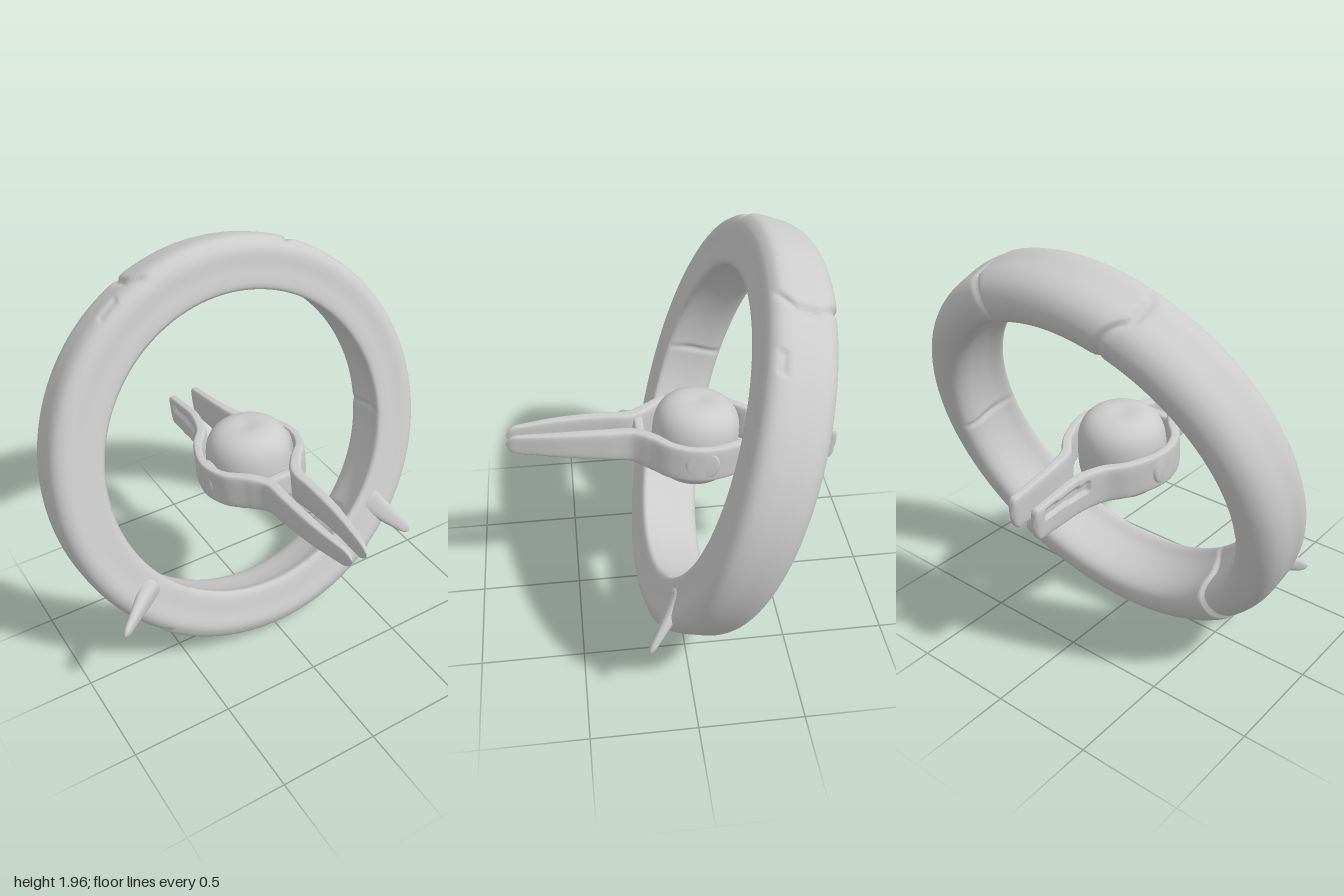
import * as THREE from 'three';

const material = new THREE.MeshStandardMaterial({ color: 0xcccccc, roughness: 0.7 });
const V = (x, y, z) => new THREE.Vector3(x, y, z);
const bump = (d, width) => Math.exp(-((d / width) ** 2));
const step = THREE.MathUtils.smoothstep;

function addMesh(parent, name, geometry) {
  const mesh = new THREE.Mesh(geometry, material);
  mesh.name = name;
  parent.add(mesh);
  return mesh;
}

// Skin over rows of cross-sections; every row is a closed loop
function skin(rows, cols, closed, pointAt) {
  const pos = [], index = [];
  for (let i = 0; i < rows; i++)
    for (let j = 0; j < cols; j++) pos.push(...pointAt(i, j).toArray());
  for (let i = 0; i < (closed ? rows : rows - 1); i++)
    for (let j = 0; j < cols; j++) {
      const i2 = (i + 1) % rows, j2 = (j + 1) % cols;
      const a = i * cols + j, b = i2 * cols + j, c = i2 * cols + j2, d = i * cols + j2;
      index.push(a, d, b, d, c, b);
    }
  const g = new THREE.BufferGeometry();
  g.setAttribute('position', new THREE.Float32BufferAttribute(pos, 3));
  g.setIndex(index);
  g.computeVertexNormals();
  return g;
}

// Unit rounded square, evenly spaced counter-clockwise
function roundedSquare(perSide, power) {
  const pts = [];
  for (let s = 0; s < 4; s++)
    for (let k = 0; k < perSide; k++) {
      const b = -1 + (2 * k) / perSide, f = (1 + Math.abs(b) ** power) ** (-1 / power);
      pts.push(new THREE.Vector2(f, b * f).rotateAround(new THREE.Vector2(), (s * Math.PI) / 2));
    }
  return pts;
}

// Bar along a path; sizes hold half thickness and half height at each path point
function bar(path, sizes, up, { rows, perSide, power, cap, dent = () => 0 }) {
  const curve = new THREE.CatmullRomCurve3(path);
  const sizeCurve = new THREE.CatmullRomCurve3(sizes.map(([a, b]) => V(a, b, 0)));
  const section = roundedSquare(perSide, power);
  const frames = [];
  for (let i = 0; i < rows; i++) {
    const t = i / (rows - 1), k = Math.min(1, Math.min(t, 1 - t) / cap);
    const dir = curve.getTangent(t);
    const u = up.clone().cross(dir).normalize();
    const v = dir.clone().cross(u);
    const size = sizeCurve.getPoint(t).multiplyScalar(Math.sqrt(1 - (1 - k) ** 2));
    frames.push({ c: curve.getPoint(t), u, v, size });
  }
  return skin(rows, section.length, false, (i, j) => {
    const { c, u, v, size } = frames[i], q = section[j];
    const p = c.clone().addScaledVector(v, q.y * size.y);
    return p.addScaledVector(u, q.x * size.x + dent(p, q.x));
  });
}

// Plated hoop: rounded profile swept in a circle, with seams and slots pressed in
function hoopGeometry() {
  const profile = [
    [1.0, 0.02], [1.0, 0.09], [0.985, 0.135], [0.945, 0.162], [0.86, 0.16], [0.765, 0.156],
    [0.753, 0.148], [0.758, 0.12], [0.775, 0.07], [0.785, 0], [0.79, -0.1],
    [0.81, -0.145], [0.85, -0.165], [0.91, -0.163], [0.965, -0.125], [0.992, -0.07],
  ].map(([r, n]) => V(r, n, 0));
  const cols = 60, rows = 480;
  const loop = new THREE.CatmullRomCurve3(profile, true).getSpacedPoints(cols);
  return skin(rows, cols, true, (i, j) => {
    const angle = (i / rows) * Math.PI * 2;
    const signed = angle > Math.PI ? angle - Math.PI * 2 : angle;
    const a = Math.abs(signed);
    const { x: r, y: n } = loop[j];
    const sides = 1 - step(n, 0.12, 0.15);
    const inner = 1 - step(r, 0.79, 0.83);
    // angled plate ends at the top and bottom, short seams on the inner wall
    const topEnd = 0.44 - 0.8 * Math.max(0, Math.abs(n) - 0.06);
    const bottomEnd = Math.PI - 0.74 + 0.5 * Math.max(0, n);
    let d = -0.016 * bump(a - topEnd, 0.018) - 0.016 * bump(a - bottomEnd, 0.018);
    d -= 0.012 * inner * bump(a - 1.65, 0.018);
    d += 0.008 * step(a, bottomEnd, bottomEnd + 0.03) + 0.006 * (1 - step(a, topEnd - 0.03, topEnd));
    // small slots on the outer rim
    const slot = signed > 0 ? 0.69 : 0.59;
    if (r > 0.93 && Math.abs(signed > 0 ? a - slot : a - slot) < 0.055) d -= 0.014 * bump(n - 0.115, 0.016);
    d *= sides;
    const k = 1 + d / Math.hypot(r - 0.88, n);
    const R = 0.88 + (r - 0.88) * k;
    return V(R * Math.sin(angle), R * Math.cos(angle), n * k);
  });
}

export function createModel() {
  const model = new THREE.Group();
  model.name = 'ringStation';

  // Tilted hoop
  const hoop = addMesh(model, 'hoop', hoopGeometry());
  hoop.position.set(0, 0.995, -0.235);
  hoop.rotation.x = -0.304;

  // Two fins on the lower front face
  const finOptions = { rows: 40, perSide: 8, power: 2.6, cap: 0.12 };
  const finSizes = [[0.06, 0.085], [0.038, 0.06], [0.026, 0.045], [0.014, 0.022]];
  const fins = [
    ['rightFin', V(-0.63, 0.54, 0.02), V(-0.87, 0.47, 0.205), V(0.1, 1, 0)],
    ['leftFin', V(0.62, 0.54, 0.02), V(0.81, 0.335, 0.205), V(0.75, 0.66, 0)],
  ];
  for (const [name, base, tip, up] of fins) {
    const path = [0, 0.3, 0.6, 1].map((t) => base.clone().lerp(tip, t));
    addMesh(model, name, bar(path, finSizes, up, finOptions));
  }

  // Central pod, pitched and rolled slightly
  const pod = new THREE.Group();
  pod.name = 'pod';
  pod.position.set(0, 0.945, -0.11);
  pod.rotation.set(-0.085, 0, 0.05);
  model.add(pod);

  // Squarish ball with a shallow dimple at each pole
  const profile = [];
  for (let i = 0; i <= 48; i++) {
    const a = -Math.PI / 2 + (i / 48) * Math.PI, c = Math.max(0, Math.cos(a)), s = Math.sin(a);
    const f = (c ** 3.1 + Math.abs(s) ** 3.1) ** (-1 / 3.1);
    const r = 0.21 * c * f;
    profile.push(new THREE.Vector2(r, 0.212 * s * f - Math.sign(s) * 0.01 * bump(r, 0.06)));
  }
  addMesh(pod, 'core', new THREE.LatheGeometry(profile, 64));

  // Collar arms: back prong, half collar and front prong in one bar per side
  const plan = [
    [0.066, -0.69], [0.068, -0.55], [0.075, -0.4], [0.11, -0.275], [0.185, -0.175], [0.243, 0],
    [0.212, 0.13], [0.13, 0.225], [0.076, 0.31], [0.073, 0.45], [0.066, 0.65], [0.037, 0.905],
  ];
  const heights = [-0.005, 0, 0.005, 0, 0, 0, 0, 0, 0, 0, -0.005, -0.02];
  const armSizes = [
    [0.021, 0.08], [0.023, 0.088], [0.025, 0.095], [0.027, 0.092], [0.024, 0.09], [0.022, 0.09],
    [0.024, 0.09], [0.03, 0.09], [0.03, 0.083], [0.028, 0.075], [0.024, 0.062], [0.013, 0.043],
  ];
  for (const side of [1, -1]) {
    const name = side > 0 ? 'left' : 'right';
    const path = plan.map(([x, z], i) => V(side * x, heights[i], z));
    // recessed slot on the outer face of the back prong
    const dent = (p, q) =>
      q * side > 0.6 && p.z > -0.63 && p.z < -0.36 && Math.abs(p.y - 0.035) < 0.022 ? -side * 0.014 : 0;
    addMesh(pod, name + 'Arm', bar(path, armSizes, V(0, 1, 0), { rows: 160, perSide: 18, power: 5, cap: 0.02, dent }));

    // Side hub joining the collar to the core
    const hubProfile = [[0, -0.06], [0.075, -0.06], [0.085, 0], [0.082, 0.02], [0.068, 0.028], [0, 0.03]];
    const hub = addMesh(pod, name + 'Hub',
      new THREE.LatheGeometry(hubProfile.map(([r, y]) => new THREE.Vector2(r, y)), 32));
    hub.rotation.z = (-side * Math.PI) / 2;
    hub.position.x = side * 0.235;
  }

  // Bridge between the front prongs
  const bridge = [-0.1, -0.03, 0.03, 0.1].map((x) => V(x, 0, 0.275));
  addMesh(pod, 'frontBridge', bar(bridge, Array(4).fill([0.025, 0.065]), V(0, 1, 0),
    { rows: 24, perSide: 8, power: 5, cap: 0.1 }));
  return model;
}
